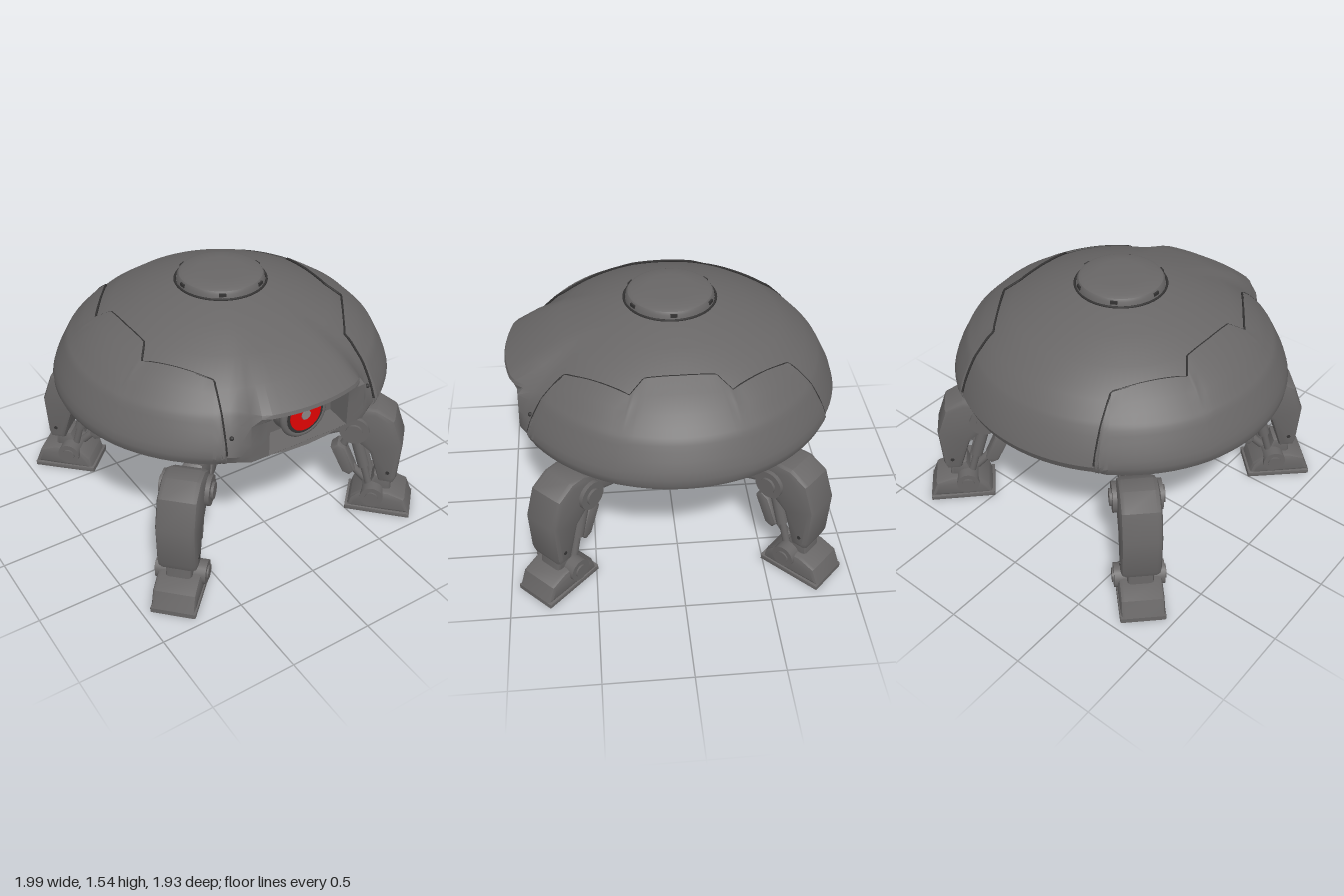
import * as THREE from 'three';
import { toCreasedNormals, mergeVertices } from 'three/addons/utils/BufferGeometryUtils.js';

const mat = (name, color, side = THREE.FrontSide) => {
  const m = new THREE.MeshStandardMaterial({ color, side });
  m.name = name;
  return m;
};

export function createModel() {
  const model = new THREE.Group();
  model.name = 'fourLeggedDomeRobot';
  const body = mat('gunmetal', 0x686666);
  const shell = body.clone();
  shell.side = THREE.DoubleSide;
  const dark = mat('darkSeam', 0x343333);
  const red = mat('eyeRed', 0xe00404);
  const lens = mat('lensGrey', 0x8a8585);

  const add = (name, geo, material, parent = model, pos = [0, 0, 0]) => {
    const m = new THREE.Mesh(geo, material);
    m.name = name;
    m.position.set(...pos);
    parent.add(m);
    return m;
  };

  // Surface through columns of points (columns run around, rows run down)
  const skin = cols => {
    const n = cols[0].length, idx = [];
    for (let i = 0; i < cols.length - 1; i++)
      for (let j = 0; j < n - 1; j++) {
        const a = i * n + j, b = a + n;
        idx.push(a, a + 1, b, b, a + 1, b + 1);
      }
    const g = new THREE.BufferGeometry();
    g.setAttribute('position', new THREE.Float32BufferAttribute(cols.flat(2), 3));
    g.setIndex(idx);
    return toCreasedNormals(mergeVertices(g, 1e-4), 0.6);
  };
  const lathe = (pts, seg = 48) => toCreasedNormals(
    new THREE.LatheGeometry(pts.map(p => new THREE.Vector2(...p)), seg), 0.5);
  const polar = (r, y, phi) => [r * Math.sin(phi), y, r * Math.cos(phi)];

  // Dome: round section, overhanging brow, flat front face and eye pocket
  const plain = [[0.2, 1.48], [0.27, 1.47], [0.45, 1.41], [0.63, 1.34], [0.78, 1.24], [0.86, 1.155],
    [0.875, 1.135], [0.9, 1.09], [0.945, 1.0], [0.967, 0.93], [0.95, 0.885], [0.88, 0.86]];
  const brow = [[0.64, 1.35], [0.81, 1.27], [0.955, 1.17], [0.962, 1.15]];
  const faceY = [1.112, 1.0, 0.93, 0.885];
  const pocket = [[0.885, 1.13], [0.74, 1.115], [0.74, 0.9], [0.885, 0.885], [0.86, 0.86]];
  const edge = 0.285;
  const mix = THREE.MathUtils.lerp;
  const column = (phi, open) => {
    const w = 1 - THREE.MathUtils.smoothstep(Math.abs(phi), 0.3, 0.5);
    const f = 1 - THREE.MathUtils.smoothstep(Math.abs(phi), 0.38, 0.49);
    return plain.map(([r, y], j) => {
      if (open && j > 6) return [(0.259 * phi) / edge, pocket[j - 7][1], pocket[j - 7][0]];
      if (j > 2 && j < 7) return polar(mix(r, brow[j - 3][0], w), mix(y, brow[j - 3][1], w), phi);
      if (j > 6 && j < 11)
        return polar(mix(r, Math.min(0.96, 0.885 / Math.cos(phi)), f), mix(y, faceY[j - 7], f), phi);
      return polar(r, y, phi);
    });
  };
  const domeCols = [];
  for (let i = 0; i <= 10; i++) domeCols.push(column(-edge + (2 * edge * i) / 10, true));
  for (let i = 0; i <= 100; i++) {
    const phi = edge + ((2 * Math.PI - 2 * edge) * i) / 100;
    domeCols.push(column(phi > Math.PI ? phi - 2 * Math.PI : phi, false));
  }
  domeCols.push(domeCols[0]);
  add('domeShell', skin(domeCols), shell);

  // Raised side panels with a stepped upper edge: [angle in degrees, radius]
  const step = [[0, 0.61], [17.4, 0.634], [22, 0.72], [54.8, 0.746], [59.5, 0.964]];
  const onPlan = ([deg, r]) => [r * Math.cos((deg * Math.PI) / 180), r * Math.sin((deg * Math.PI) / 180)];
  const edgeRadius = deg => {
    const a = Math.abs(deg);
    const i = Math.max(1, step.findIndex(s => s[0] >= a - 1e-6));
    // straight line in plan between the two corners
    const P = onPlan(step[i - 1]), Q = onPlan(step[i]), d = onPlan([a, 1]);
    const e = [Q[0] - P[0], Q[1] - P[1]];
    return (P[0] * e[1] - P[1] * e[0]) / (d[0] * e[1] - d[1] * e[0]);
  };
  const tOf = r => {
    let i = 0;
    while (i < 8 && plain[i + 1][0] < r) i++;
    return i + (r - plain[i][0]) / (plain[i + 1][0] - plain[i][0]);
  };
  const at = t => {
    const i = Math.min(10, Math.floor(t));
    return [0, 1].map(k => mix(plain[i][k], plain[i + 1][k], t - i));
  };
  const angles = [];
  for (let i = 1; i < step.length; i++)
    for (let k = 0; k < 8; k++) angles.push(mix(step[i - 1][0], step[i][0], k / 8));
  angles.push(59.5);
  const sweep = [...angles.slice(1).reverse().map(a => -a), ...angles];
  for (const [side, mid] of [['left', Math.PI / 2], ['right', -Math.PI / 2]]) {
    const panel = [], seam = [];
    for (const deg of sweep) {
      const phi = mid + (deg * Math.PI) / 180;
      const t0 = tOf(edgeRadius(deg));
      const grow = 0.014 + 0.021 * Math.cos((deg * Math.PI) / 120);
      const col = [];
      for (let j = 0; j <= 14; j++) {
        const [r, y] = at(mix(t0, 11, j / 14));
        col.push(polar(r * (1 + grow * Math.min(1, 0.4 + j / 8)), y + 0.012 * (1 - j / 14), phi));
      }
      panel.push(col);
      const [r, y] = at(t0);
      seam.push(new THREE.Vector3(...polar(r * 1.005, y + 0.006, phi)));
    }
    add(side + 'SidePanel', skin(panel), shell);
    add(side + 'PanelSeam', new THREE.TubeGeometry(new THREE.CatmullRomCurve3(seam), 160, 0.007, 5), dark);
  }

  // Top hatch
  add('hatch', lathe([[0.255, 1.46], [0.25, 1.5], [0.24, 1.515], [0.22, 1.525], [0.14, 1.533], [0, 1.536]]), body);
  const groove = add('hatchGroove', new THREE.TorusGeometry(0.262, 0.007, 6, 48), dark, model, [0, 1.474, 0]);
  groove.rotation.x = Math.PI / 2;
  for (let i = 0; i < 6; i++) {
    const a = (i * Math.PI) / 3 + Math.PI / 6;
    const n = add('hatchNotch', new THREE.BoxGeometry(0.04, 0.018, 0.012), dark, model, polar(0.25, 1.497, a));
    n.rotation.y = a;
  }

  // Underside, neck and hub
  add('underside', lathe([[0.1, 0.96], [0.54, 0.95], [0.61, 0.87], [0.67, 0.84], [0.77, 0.84], [0.81, 0.86], [0.89, 0.86]]), shell);
  for (const a of [Math.PI / 2, Math.PI, -Math.PI / 2]) {
    const b = add('undersideBlock', new THREE.BoxGeometry(0.3, 0.05, 0.2), body, model, polar(0.7, 0.855, a));
    b.rotation.y = a;
  }
  add('undersidePlate', new THREE.BoxGeometry(0.28, 0.15, 0.24), body, model, [0, 0.865, 0.22]);
  for (const s of [-1, 1]) {
    add('undersideBoss', new THREE.CylinderGeometry(0.15, 0.08, 0.14, 4), body, model, [s * 0.31, 0.87, -0.18]);
  }
  add('neck', lathe([[0.15, 0.64], [0.165, 0.66], [0.165, 0.71], [0.18, 0.72], [0.18, 0.75], [0.165, 0.76],
    [0.165, 0.78], [0.185, 0.79], [0.185, 0.96]], 32), body);
  add('hub', lathe([[0, 0.405], [0.15, 0.405], [0.175, 0.43], [0.175, 0.46], [0.235, 0.46], [0.25, 0.48],
    [0.25, 0.6], [0.268, 0.62], [0.268, 0.655], [0.25, 0.675], [0, 0.675]], 24), body);

  // Eye
  const eye = new THREE.Group();
  eye.name = 'eye';
  eye.position.set(0, 1.03, 0.76);
  model.add(eye);
  const disc = (r1, r2, d, n = 32) => new THREE.CylinderGeometry(r1, r2, d, n).rotateX(Math.PI / 2);
  add('eyeHousing', disc(0.135, 0.15, 0.12), body, eye);
  add('eyeRing', new THREE.TorusGeometry(0.128, 0.022, 10, 40), body, eye, [0, 0, 0.065]);
  add('eyeGroove', disc(0.122, 0.122, 0.008), dark, eye, [0, 0, 0.08]);
  add('iris', disc(0.1, 0.1, 0.008), red, eye, [0, 0, 0.086]);
  add('pupil', disc(0.029, 0.029, 0.008, 16), lens, eye, [0, 0, 0.092]);

  // Front rivets beside the pocket
  for (const s of [-1, 1]) add('rivet', new THREE.SphereGeometry(0.013, 10, 8), dark, model, [s * 0.45, 1.03, 0.815]);

  // Legs: x runs outward, z across the leg
  const slab = (pts, width, bevel = 0.02) => {
    const g = new THREE.ExtrudeGeometry(new THREE.Shape(pts.map(p => new THREE.Vector2(...p))), {
      depth: width - 2 * bevel, bevelThickness: bevel, bevelSize: bevel, bevelOffset: -bevel, bevelSegments: 2 });
    return toCreasedNormals(g.translate(0, 0, bevel - width / 2), 0.6);
  };
  const rod = (name, a, b, r, z, leg) => {
    const A = new THREE.Vector3(a[0], a[1], z), B = new THREE.Vector3(b[0], b[1], z);
    const m = add(name, new THREE.CylinderGeometry(r, r, A.distanceTo(B), 12), body, leg);
    m.position.copy(A).lerp(B, 0.5);
    m.quaternion.setFromUnitVectors(new THREE.Vector3(0, 1, 0), B.sub(A).normalize());
  };
  const parts = {
    thigh: slab([[0.2, 0.62], [0.3, 0.635], [0.38, 0.62], [0.53, 0.56], [0.56, 0.48], [0.53, 0.445], [0.46, 0.44], [0.28, 0.52]], 0.15),
    kneeLink: slab([[0.48, 0.54], [0.56, 0.6], [0.72, 0.68], [0.84, 0.57], [0.7, 0.51], [0.52, 0.455]], 0.12),
    shin: slab([[1.01, 0.24], [1.1, 0.24], [1.115, 0.28], [1.13, 0.53], [1.07, 0.7], [0.96, 0.76], [0.86, 0.76],
      [0.77, 0.7], [0.75, 0.6], [0.84, 0.53], [0.94, 0.45]], 0.23, 0.03),
    ankle: slab([[0.94, 0.13], [1.09, 0.13], [1.08, 0.26], [0.98, 0.26]], 0.15),
    foot: slab([[0.83, 0.025], [1.22, 0.03], [1.18, 0.13], [1.08, 0.165], [0.92, 0.165], [0.85, 0.1]], 0.25, 0.025),
    sole: slab([[0.82, 0.005], [1.22, 0], [1.22, 0.03], [0.82, 0.04]], 0.262, 0.008),
    damper: slab([[0.7, 0.4], [0.74, 0.44], [0.79, 0.41], [0.86, 0.25], [0.83, 0.21], [0.78, 0.23]], 0.11),
  };
  for (let k = 0; k < 4; k++) {
    const leg = new THREE.Group();
    leg.name = ['frontLeftLeg', 'backLeftLeg', 'backRightLeg', 'frontRightLeg'][k];
    leg.rotation.y = -Math.PI / 4 + (k * Math.PI) / 2;
    model.add(leg);
    for (const name in parts) add(name, parts[name], body, leg);
    add('kneeJoint', disc(0.088, 0.088, 0.28, 24), body, leg, [0.84, 0.615, 0]);
    add('kneeCap', disc(0.05, 0.05, 0.31, 20), body, leg, [0.84, 0.615, 0]);
    add('ankleJoint', disc(0.07, 0.07, 0.29, 20), body, leg, [0.98, 0.135, 0]);
    add('ankleCap', disc(0.04, 0.04, 0.31, 16), body, leg, [0.98, 0.135, 0]);
    add('thighBolt', disc(0.03, 0.03, 0.17, 12), body, leg, [0.35, 0.55, 0]);
    add('shinBolt', disc(0.012, 0.012, 0.236, 8), dark, leg, [1.06, 0.32, 0]);
    for (const z of [-0.065, 0.065]) {
      rod('pistonSleeve', [0.85, 0.52], [0.91, 0.32], 0.036, z, leg);
      rod('pistonRod', [0.9, 0.36], [0.96, 0.15], 0.022, z, leg);
    }
    rod('damperUpperLink', [0.77, 0.4], [0.83, 0.56], 0.025, 0, leg);
    rod('damperLowerLink', [0.82, 0.27], [0.95, 0.14], 0.025, 0, leg);
  }
  return model;
}
